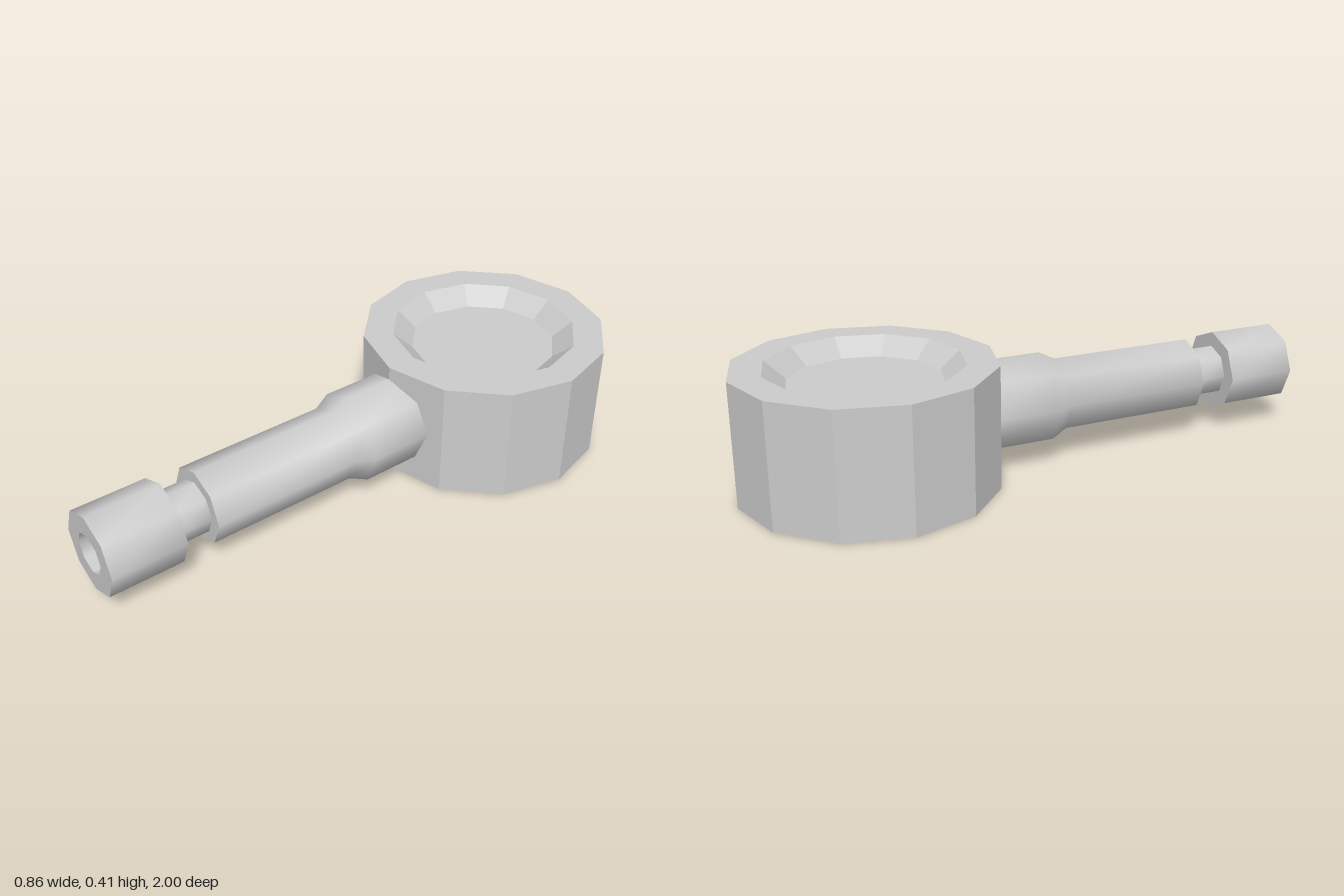
import * as THREE from 'three';
import { toCreasedNormals } from 'three/addons/utils/BufferGeometryUtils.js';

// Revolved solid from [radius, height] pairs, listed from the bottom upwards
function revolve(profile, sides) {
  return new THREE.LatheGeometry(profile.map(([r, h]) => new THREE.Vector2(r, h)), sides);
}

export function createModel() {
  const group = new THREE.Group();

  // Faceted twelve-sided bowl with a shallow sloping recess
  const bowl = new THREE.Mesh(
    revolve([[0, 0], [0.43, 0], [0.43, 0.415], [0.325, 0.415], [0.255, 0.357], [0, 0.357]], 12),
    new THREE.MeshStandardMaterial({ color: 0xcccccc, flatShading: true })
  );
  bowl.name = 'bowl';
  bowl.position.z = -0.57;
  group.add(bowl);

  // Eight-sided stem: thick socket, taper, shaft, narrow neck, mouthpiece with bore
  const stemProfile = [
    [0, -0.24], [0.16, -0.24], [0.16, 0.04], [0.13, 0.1], [0.13, 0.63],
    [0.09, 0.63], [0.09, 0.745], [0.142, 0.745], [0.142, 1],
    [0.071, 1], [0.071, 0.72], [0, 0.72],
  ];
  const stemGeometry = revolve(stemProfile, 8);
  stemGeometry.rotateX(Math.PI / 2); // lay the axis along +z
  const stem = new THREE.Mesh(
    toCreasedNormals(stemGeometry, Math.PI * 0.3),
    new THREE.MeshStandardMaterial({ color: 0xcccccc })
  );
  stem.name = 'stem';
  stem.position.y = 0.208;
  group.add(stem);

  return group;
}
